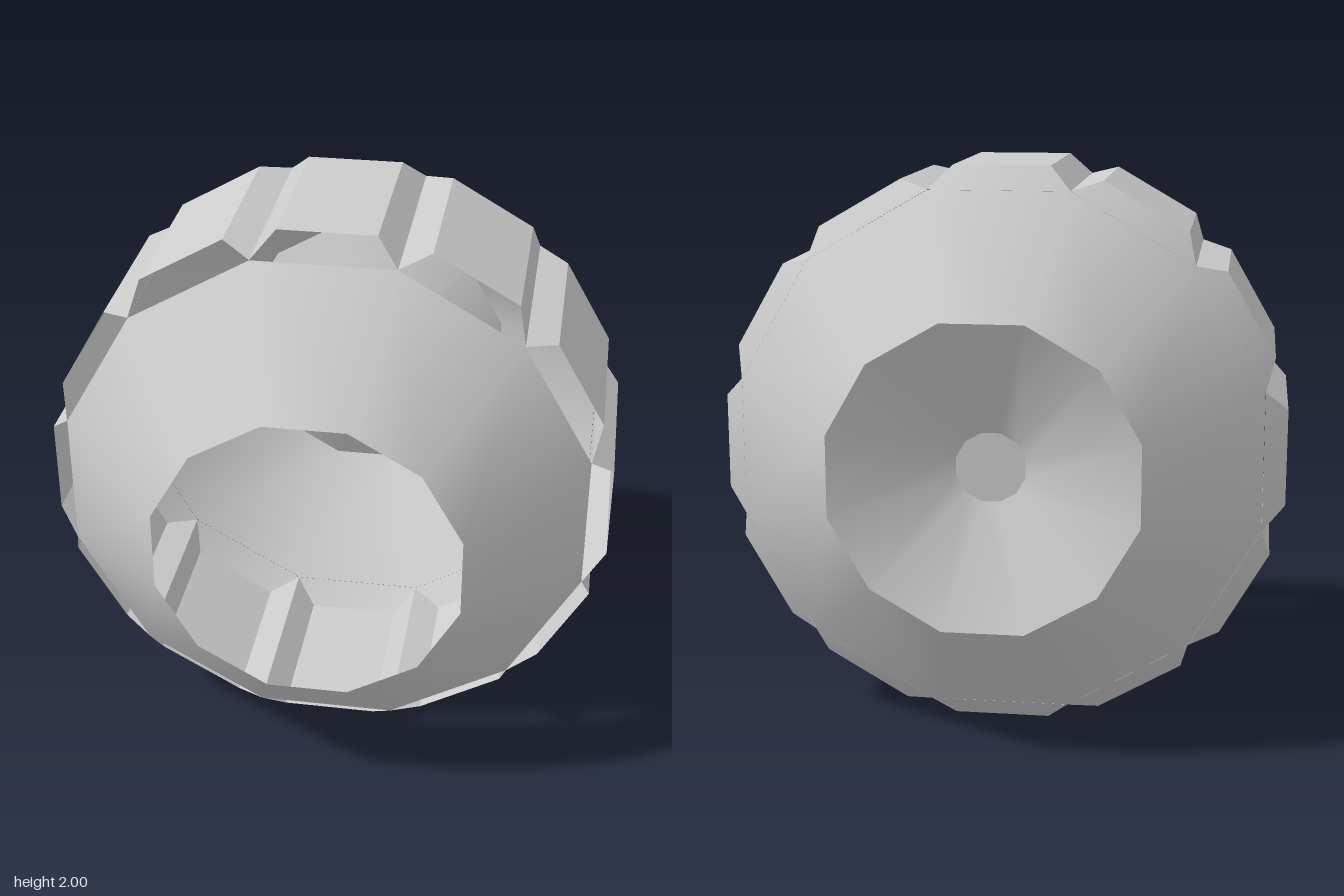
import * as THREE from 'three';

const SIDES = 12;
const STEP = (Math.PI * 2) / SIDES;
const RIM = 0.952, HUB = 0.544, EYE = 0.124; // corner radii
const RIM_Z = 0.4, HUB_Z = 0.795, EYE_Z = 0.59;

const material = new THREE.MeshStandardMaterial({ color: 0xcccccc, side: THREE.DoubleSide });

function addMesh(parent, name, geometry) {
  const mesh = new THREE.Mesh(geometry, material);
  mesh.name = name;
  parent.add(mesh);
}

// Twelve-sided smooth ring around z, from [radius, z] to [radius, z]
function ring(...profile) {
  const points = profile.map(([r, z]) => new THREE.Vector2(r, z));
  return new THREE.LatheGeometry(points, SIDES, STEP / 2).rotateX(Math.PI / 2);
}

function quads(list) {
  const positions = list.flatMap(([a, b, c, d]) => [a, b, c, a, c, d]).flat();
  const geometry = new THREE.BufferGeometry();
  geometry.setAttribute('position', new THREE.Float32BufferAttribute(positions, 3));
  geometry.computeVertexNormals();
  return geometry;
}

export function createModel() {
  const model = new THREE.Group();
  const wheel = new THREE.Group();
  wheel.name = 'wheel';
  wheel.position.y = 1;
  model.add(wheel);

  // Sidewalls; the front one is open at the hub, the back one has a dish
  addMesh(wheel, 'frontSidewall', ring([RIM, RIM_Z], [HUB, HUB_Z]));
  addMesh(wheel, 'backSidewall', ring([HUB, -HUB_Z], [RIM, -RIM_Z]));
  addMesh(wheel, 'backDish', ring([EYE, -EYE_Z], [HUB, -HUB_Z]));
  addMesh(wheel, 'backDishCentre', ring([0, -EYE_Z], [EYE, -EYE_Z]));

  // Corners of one tread block: top edge (t) and groove bottom (g)
  const top = (sx, sz) => [sx * 0.17, 1, sz * 0.32];
  const groove = (sx, sz) => [sx * 0.247, 0.92, sz * RIM_Z];
  const block = quads([
    [top(-1, 1), top(1, 1), top(1, -1), top(-1, -1)],
    [top(1, 1), groove(1, 1), groove(1, -1), top(1, -1)],
    [groove(-1, 1), top(-1, 1), top(-1, -1), groove(-1, -1)],
  ]);

  // Back shoulder of a block, shaded smoothly with the sidewall
  const shoulder = quads([[top(-1, -1), top(1, -1), groove(1, -1), groove(-1, -1)]]);
  const { position, normal } = shoulder.attributes;
  const n = new THREE.Vector3();
  for (let i = 0; i < position.count; i++) {
    n.fromBufferAttribute(position, i).setZ(0).normalize().setZ(-1).normalize();
    normal.setXYZ(i, n.x, n.y, n.z);
  }

  // Tread blocks around the rim, open towards the front
  for (let i = 0; i < SIDES; i++) {
    const tread = new THREE.Group();
    tread.name = 'treadBlock' + (i + 1);
    tread.rotation.z = i * STEP;
    addMesh(tread, 'treadFace', block);
    addMesh(tread, 'treadBackShoulder', shoulder);
    wheel.add(tread);
  }
  return model;
}
